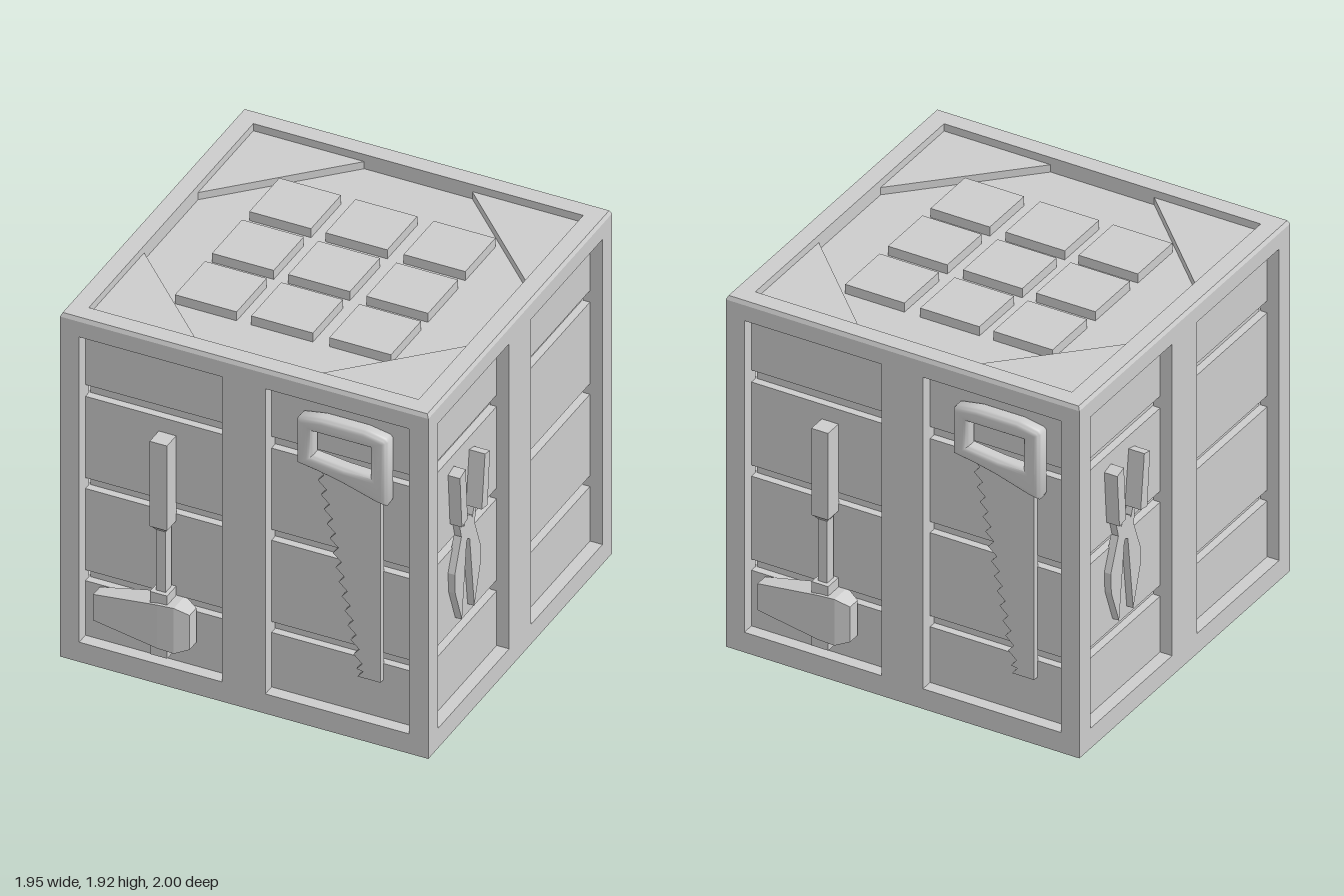
import * as THREE from 'three';
import { toCreasedNormals } from 'three/addons/utils/BufferGeometryUtils.js';

const flat = new THREE.MeshStandardMaterial({ color: 0xcccccc, flatShading: true });
const smooth = new THREE.MeshStandardMaterial({ color: 0xcccccc });
const HALF = 0.955, INNER = 0.855, PANEL = 0.89;

function add(parent, name, geometry, material = flat) {
  const mesh = new THREE.Mesh(geometry, material);
  mesh.name = name;
  parent.add(mesh);
  return mesh;
}

// Box given by its lower and upper limits
function box(parent, name, x0, x1, y0, y1, z0, z1) {
  const mesh = add(parent, name, new THREE.BoxGeometry(x1 - x0, y1 - y0, z1 - z0));
  mesh.position.set((x0 + x1) / 2, (y0 + y1) / 2, (z0 + z1) / 2);
  return mesh;
}

const shapeOf = (pts) => new THREE.Shape(pts.map(([x, y]) => new THREE.Vector2(x, y)));
const rect = (x0, x1, y0, y1) => [[x0, y0], [x1, y0], [x1, y1], [x0, y1]];

// Flat plate cut from a shape, between two depths
function plate(parent, name, shape, z0, z1) {
  const mesh = add(parent, name, new THREE.ExtrudeGeometry(shape, { depth: z1 - z0, bevelEnabled: false }));
  mesh.position.z = z0;
  return mesh;
}

// Square turned profile: [half width, height] from outside to inside
function squareLathe(parent, name, profile) {
  const pts = profile.map(([r, y]) => new THREE.Vector2(r * Math.SQRT2, y));
  return add(parent, name, new THREE.LatheGeometry(pts, 4, Math.PI / 4).toNonIndexed());
}

function makeHammer() {
  const g = new THREE.Group();
  g.name = 'hammer';
  const x = -0.43;
  box(g, 'hammerGrip', x - 0.045, x + 0.045, 0.89, 1.365, 0.885, 0.985);
  const taper = add(g, 'gripTaper', new THREE.CylinderGeometry(0.045 * Math.SQRT2, 0.027 * Math.SQRT2, 0.025, 4, 1, false, Math.PI / 4));
  taper.position.set(x, 0.8775, 0.935);
  box(g, 'hammerNeck', x - 0.025, x + 0.025, 0.5, 0.88, 0.9, 0.96);
  box(g, 'hammerCollar', x - 0.045, x + 0.045, 0.175, 0.525, 0.885, 0.983);
  // Head: narrow at the peen, full near the middle, chamfered at the striking face
  const geo = new THREE.BoxGeometry(2, 1, 1, 3, 1, 1);
  const sections = [[-0.775, 0.265, 0.41, 0.97], [-0.43, 0.23, 0.472, 1], [-0.345, 0.222, 0.475, 0.995], [-0.275, 0.25, 0.442, 0.97]];
  const p = geo.attributes.position;
  for (let i = 0; i < p.count; i++) {
    const [sx, y0, y1, z1] = sections[Math.round((p.getX(i) + 1) * 1.5)];
    p.setXYZ(i, sx, p.getY(i) > 0 ? y1 : y0, p.getZ(i) > 0 ? z1 : 1.87 - z1);
  }
  add(g, 'hammerHead', geo);
  return g;
}

function makeSaw() {
  const g = new THREE.Group();
  g.name = 'saw';
  // Blade with a toothed left edge
  const pts = [[0.69, 0.325], [0.69, 1.42], [0.36, 1.44]];
  const teeth = 14;
  for (let i = 0; i < teeth; i++) {
    const t = i / teeth, x = 0.36 + 0.215 * t, y = 1.42 - 1.07 * t;
    pts.push([x + 0.035, y - 0.025], [x + 0.005, y - 0.06]);
  }
  pts.push([0.6, 0.36], [0.57, 0.325]);
  plate(g, 'sawBlade', shapeOf(pts), 0.885, 0.92);
  // Rounded closed handle
  const outline = shapeOf([[0.27, 1.45], [0.38, 1.432], [0.5, 1.405], [0.68, 1.35], [0.735, 1.34], [0.745, 1.36],
    [0.745, 1.7], [0.73, 1.715], [0.62, 1.735], [0.4, 1.735], [0.285, 1.715], [0.27, 1.695]]);
  outline.holes.push(shapeOf([[0.355, 1.515], [0.355, 1.645], [0.65, 1.645], [0.65, 1.49], [0.52, 1.495]]));
  const geo = new THREE.ExtrudeGeometry(outline, {
    depth: 0.025, bevelThickness: 0.03, bevelSize: 0.03, bevelOffset: -0.03, bevelSegments: 5,
  });
  add(g, 'sawHandle', toCreasedNormals(geo, 0.9), smooth).position.z = 0.91;
  return g;
}

// Garden shears; the two grips lie at slightly different depths
function makeShears(depthA, depthB) {
  const g = new THREE.Group();
  g.name = 'shears';
  plate(g, 'shearBlades', shapeOf([[-0.578, 1.09], [-0.551, 0.989], [-0.62, 0.818], [-0.615, 0.711], [-0.545, 0.524],
    [-0.497, 0.925], [-0.487, 0.942], [-0.465, 0.93], [-0.417, 0.524], [-0.353, 0.722], [-0.348, 0.818],
    [-0.412, 0.984], [-0.396, 1.09], [-0.417, 1.09], [-0.438, 1.032], [-0.444, 1.048], [-0.481, 1.07],
    [-0.508, 1.059], [-0.524, 1.027], [-0.556, 1.09]]), 0.885, 0.925);
  plate(g, 'shearGrip', shapeOf([[-0.6, 1.08], [-0.54, 1.09], [-0.56, 1.38], [-0.62, 1.364]]), 0.885, depthA);
  plate(g, 'shearGrip', shapeOf([[-0.433, 1.085], [-0.374, 1.075], [-0.348, 1.364], [-0.4, 1.376]]), 0.885, depthB);
  return g;
}

export function createModel() {
  const model = new THREE.Group();
  model.name = 'workbench';

  // Recessed top with chamfered rim, and recessed underside
  squareLathe(model, 'topRim', [[HALF, 1.9], [0.945, 1.92], [INNER, 1.92], [INNER, 1.84], [0, 1.84]]);
  squareLathe(model, 'underside', [[0, 0.07], [INNER, 0.07], [INNER, 0], [HALF, 0]]);

  // Planks around an inner core, leaving grooves between them
  box(model, 'core', -0.85, 0.85, 0.08, 1.83, -0.85, 0.85);
  for (const [y0, y1] of [[0.08, 0.415], [0.475, 0.93], [0.99, 1.445], [1.51, 1.83]]) {
    box(model, 'plank', -PANEL, PANEL, y0, y1, -PANEL, PANEL);
  }

  // Four framed sides: hammer and saw on front and back, shears on the others
  for (let i = 0; i < 4; i++) {
    const side = new THREE.Group();
    side.name = 'side';
    side.rotation.y = i * Math.PI / 2;
    const frame = shapeOf(rect(-HALF, HALF, 0, 1.9));
    for (const [x0, x1] of [[-INNER, -0.115], [0.11, INNER]]) {
      frame.holes.push(shapeOf(rect(x0, x1, 0.11, 1.815)));
    }
    plate(side, 'frame', frame, INNER, HALF);
    if (i % 2 === 0) side.add(makeHammer(), makeSaw());
    else side.add(i === 1 ? makeShears(0.952, 0.972) : makeShears(0.96, 0.975));
    model.add(side);

    // Triangular brace in each top corner
    const brace = plate(model, 'cornerBrace', shapeOf([[INNER, INNER], [0.28, INNER], [INNER, 0.28]]), 0, 0.045);
    brace.rotation.set(-Math.PI / 2, 0, i * Math.PI / 2);
    brace.position.y = 1.835;
  }

  // Three by three grid of raised pads
  for (const x of [-0.405, -0.01, 0.395]) {
    for (const z of [-0.388, 0, 0.385]) {
      box(model, 'pad', x - 0.16, x + 0.16, 1.83, 1.89, z - 0.156, z + 0.156);
    }
  }
  return model;
}
